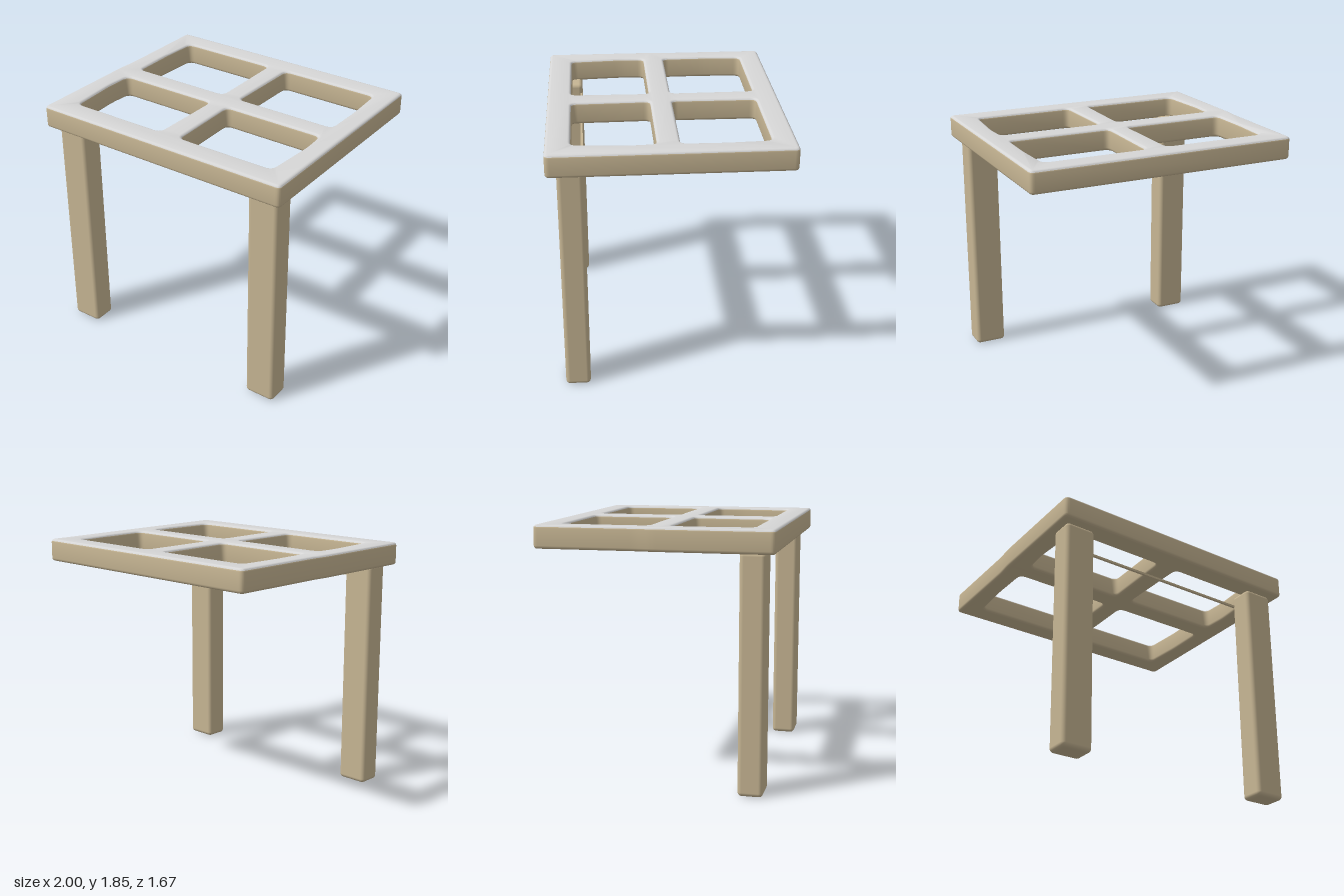
import * as THREE from 'three';
import { toCreasedNormals } from 'three/addons/utils/BufferGeometryUtils.js';
import { RoundedBoxGeometry } from 'three/addons/geometries/RoundedBoxGeometry.js';

const wood = new THREE.MeshStandardMaterial({ name: 'tan wood', color: 0xc6b593 });
const grey = new THREE.MeshStandardMaterial({ name: 'pale grey top', color: 0xd6d6d6 });

// Closed outline through the corners, each corner rounded by radius r
function roundedOutline(path, corners, r) {
  const pts = corners.map(([x, z]) => new THREE.Vector2(x, z));
  const n = pts.length;
  pts.forEach((p, i) => {
    const toward = (q) => {
      const d = q.clone().sub(p);
      return p.clone().addScaledVector(d, Math.min(r / d.length(), 0.45));
    };
    const a = toward(pts[(i + n - 1) % n]);
    const b = toward(pts[(i + 1) % n]);
    if (i === 0) path.moveTo(a.x, a.y);
    else path.lineTo(a.x, a.y);
    path.quadraticCurveTo(p.x, p.y, b.x, b.y);
  });
  path.closePath();
  return path;
}

// Four-pane frame, with its upward faces in grey
function frameGeometry() {
  const bevel = 0.022, height = 0.165, top = 1.845;
  const shape = roundedOutline(new THREE.Shape(),
    [[-0.99, -0.84], [0.995, -0.84], [1, 0.835], [-1, 0.835], [-1, 0], [-0.99, -0.12]], 0.035);
  for (const s of [-1, 1]) {
    const panes = [
      [[0.08, -0.675], [0.835, -0.675], [0.85, -0.37], [0.845, -0.065], [0.075, -0.065]],
      [[0.075, 0.095], [0.843, 0.095], [0.853, 0.28], [0.825, 0.662], [0.085, 0.662]],
    ];
    for (const pane of panes) {
      shape.holes.push(roundedOutline(new THREE.Path(), pane.map(([x, z]) => [s * x, z]), 0.045));
    }
  }
  let geo = new THREE.ExtrudeGeometry(shape, {
    depth: height - 2 * bevel, bevelEnabled: true, bevelThickness: bevel,
    bevelSize: bevel, bevelOffset: -bevel, bevelSegments: 4, curveSegments: 5,
  });
  geo.rotateX(Math.PI / 2).translate(0, top - bevel, 0);
  geo.deleteAttribute('uv');
  geo = toCreasedNormals(geo, 0.7);

  // Sort the triangles into upward and other faces, one material group each
  const pos = geo.attributes.position;
  const tri = new THREE.Triangle(), normal = new THREE.Vector3();
  const up = [], rest = [];
  for (let i = 0; i < pos.count; i += 3) {
    tri.setFromAttributeAndIndices(pos, i, i + 1, i + 2).getNormal(normal);
    (normal.y > 0.5 ? up : rest).push(i, i + 1, i + 2);
  }
  geo.setIndex([...up, ...rest]);
  geo.clearGroups();
  geo.addGroup(0, up.length, 0);
  geo.addGroup(up.length, rest.length, 1);
  return geo;
}

export function createModel() {
  const model = new THREE.Group();
  model.name = 'table';
  const add = (name, geometry, material, x, y, z) => {
    const mesh = new THREE.Mesh(geometry, material);
    mesh.name = name;
    mesh.position.set(x, y, z);
    model.add(mesh);
    return mesh;
  };

  add('topFrame', frameGeometry(), [grey, wood], 0, 0, 0);

  // Two front legs, tucked just under the frame
  const leg = new RoundedBoxGeometry(0.232, 1.69, 0.178, 4, 0.03);
  add('leftLeg', leg, wood, 0.825, 0.845, 0.673);
  add('rightLeg', leg, wood, -0.825, 0.845, 0.673);

  // Thin rail joining the inner back edges of the legs
  add('rail', new THREE.BoxGeometry(1.5, 0.016, 0.016), wood, 0, 1.608, 0.594);

  return model;
}
